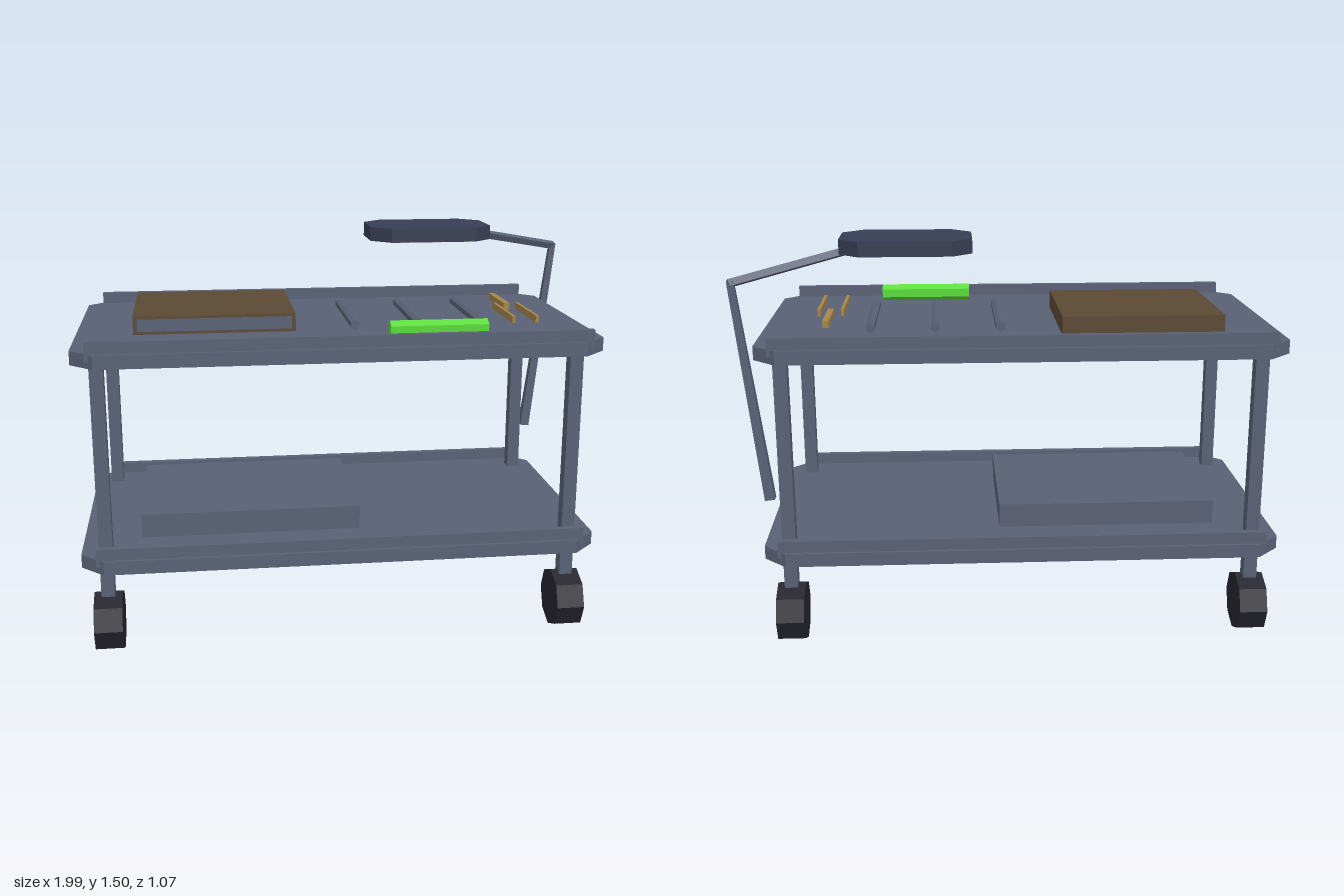
import * as THREE from 'three';

const material = (name, color) => {
  const m = new THREE.MeshStandardMaterial({ color });
  m.name = name;
  m.flatShading = true;
  return m;
};

export function createModel() {
  const model = new THREE.Group();
  model.name = 'toolCart';

  const steel = material('steelGrey', 0x596176);
  const rubber = material('darkRubber', 0x25242e);
  const navy = material('lampNavy', 0x373d54);
  const leather = material('brownLeather', 0x5b4934);
  const brass = material('brass', 0xa58549);
  const green = material('brightGreen', 0x5bdc3c);
  const cream = material('lampCream', 0xbdae90);

  const add = (name, geometry, mat, x = 0, y = 0, z = 0) => {
    const mesh = new THREE.Mesh(geometry, mat);
    mesh.name = name;
    mesh.position.set(x, y, z);
    model.add(mesh);
    return mesh;
  };

  // Box given by its lower and upper corners
  const block = (name, mat, [x0, y0, z0], [x1, y1, z1]) =>
    add(name, new THREE.BoxGeometry(x1 - x0, y1 - y0, z1 - z0), mat,
      (x0 + x1) / 2, (y0 + y1) / 2, (z0 + z1) / 2);

  // Flat plate with cut corners, its base at y = 0
  const cutPlate = (w, d, cut, h) => {
    const a = w / 2, b = d / 2;
    const shape = new THREE.Shape([
      [a - cut, -b], [a, -b + cut], [a, b - cut], [a - cut, b],
      [-a + cut, b], [-a, b - cut], [-a, -b + cut], [-a + cut, -b],
    ].map(([x, y]) => new THREE.Vector2(x, y)));
    return new THREE.ExtrudeGeometry(shape, { depth: h, bevelEnabled: false }).rotateX(-Math.PI / 2);
  };

  // Tapered four-sided bar between two points
  const bar = (name, from, to, r0, r1) => {
    const a = new THREE.Vector3(...from), b = new THREE.Vector3(...to);
    const dir = b.clone().sub(a);
    const geometry = new THREE.CylinderGeometry(r1, r0, dir.length(), 4).rotateY(Math.PI / 4);
    const mesh = add(name, geometry, steel);
    mesh.position.copy(a).add(b).multiplyScalar(0.5);
    mesh.quaternion.setFromUnitVectors(new THREE.Vector3(0, 1, 0), dir.normalize());
  };

  // Two shelves, each with a front and a back rail
  const midX = -0.043;
  for (const y of [0.347, 1.102]) {
    add('shelf', cutPlate(1.914, 1.07, 0.085, 0.05), steel, midX, y, 0);
    for (const s of [-1, 1]) {
      add('shelfRail', new THREE.BoxGeometry(1.8, 0.066, 0.027), steel, midX, y + 0.06, s * 0.508);
    }
  }

  // Legs and eight-sided wheels
  for (const sx of [-1, 1]) for (const sz of [-1, 1]) {
    const x = midX + sx * 0.871, z = sz * 0.4;
    add('leg', new THREE.BoxGeometry(0.05, 0.95, 0.05), steel, x, 0.63, z);
    add('wheel', new THREE.CylinderGeometry(0.113, 0.113, 0.104, 8).rotateZ(Math.PI / 2),
      rubber, x, 0.113, z);
  }

  // Case on the lower shelf
  block('lowerCase', steel, [-0.785, 0.395, -0.305], [0.04, 0.487, 0.305]);

  // Book with a page panel on its front edge
  block('book', leather, [-0.79, 1.153, -0.332], [-0.19, 1.221, 0.204]);
  block('bookPages', steel, [-0.775, 1.164, 0.203], [-0.205, 1.21, 0.207]);

  // Row of slim tools
  for (const x of [0.033, 0.273, 0.513]) {
    add('slimTool', new THREE.CylinderGeometry(0.019, 0.019, 0.475, 6).rotateX(Math.PI / 2),
      steel, x, 1.172, -0.026);
  }

  // Green rod
  add('greenRod', new THREE.CylinderGeometry(0.033, 0.033, 0.36, 6).rotateY(Math.PI / 6).rotateZ(Math.PI / 2),
    green, 0.315, 1.187, 0.385);

  // Tongs: one handle and two prongs
  block('tongsHandle', brass, [0.663, 1.174, -0.262], [0.687, 1.2, -0.022]);
  for (const x of [0.63, 0.72]) {
    block('tongsProng', brass, [x - 0.006, 1.174, -0.045], [x + 0.006, 1.2, 0.258]);
  }

  // Lamp arm, head and light panel
  bar('lampLowerArm', [0.885, 0.575, -0.43], [0.979, 1.38, -0.437], 0.026, 0.017);
  bar('lampUpperArm', [0.985, 1.373, -0.442], [0.56, 1.462, -0.235], 0.018, 0.018);
  add('lampHead', cutPlate(0.48, 0.335, 0.073, 0.054), navy, 0.375, 1.447, -0.188);
  add('lampPanel', cutPlate(0.4, 0.265, 0.055, 0.008), cream, 0.375, 1.442, -0.188);

  return model;
}
